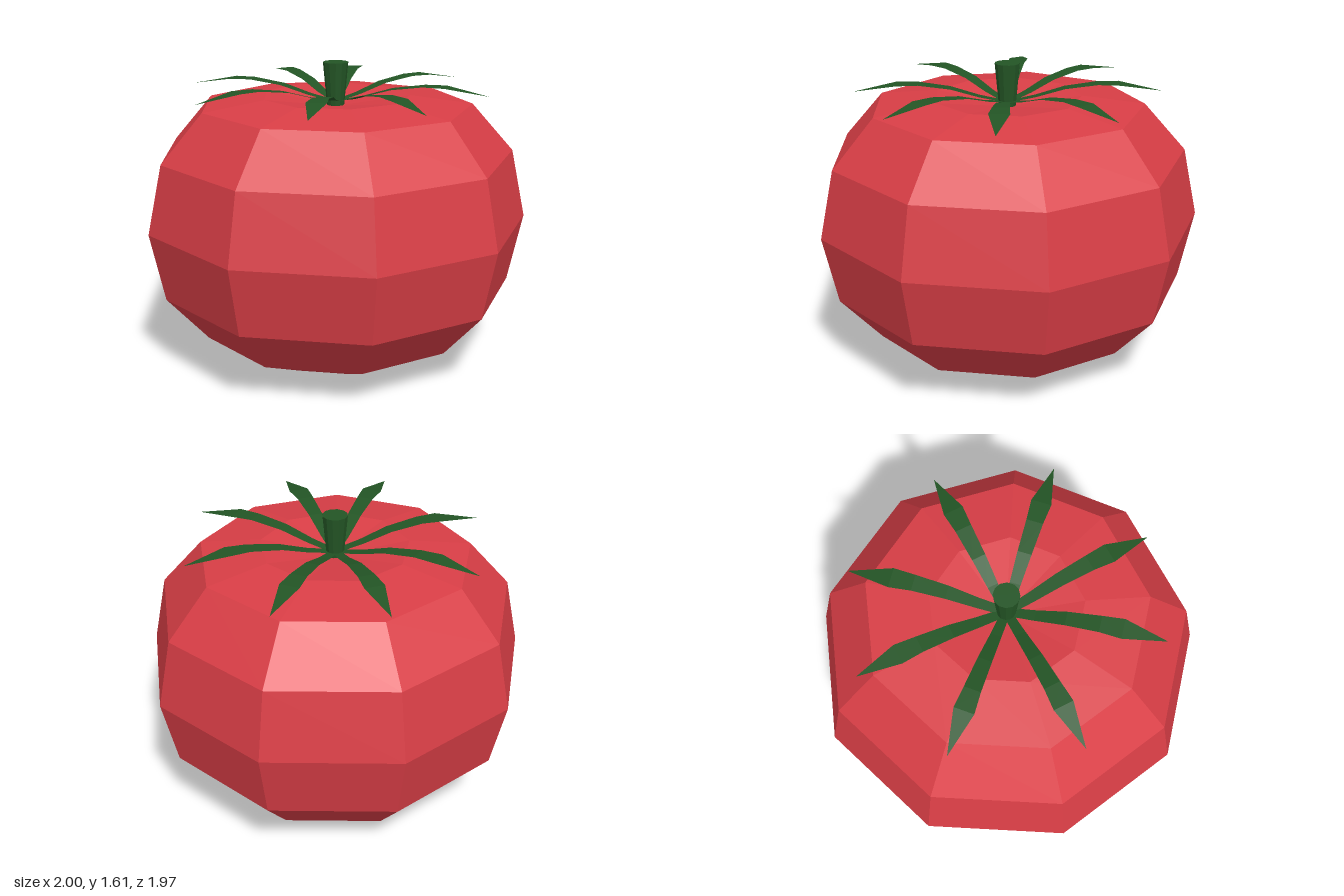
import * as THREE from 'three';

const CENTRE_Z = 0.028;

const red = new THREE.MeshStandardMaterial({ color: 0xd93e46, flatShading: true });
red.name = 'tomatoRed';
const green = new THREE.MeshStandardMaterial({ color: 0x235525, flatShading: true, side: THREE.DoubleSide });
green.name = 'leafGreen';

// Cross-sections along a leaf: fraction of length, height, half width
const LEAF_SECTIONS = [
  [0, 1.4, 0.022],
  [0.18, 1.43, 0.028],
  [0.37, 1.475, 0.036],
  [0.58, 1.498, 0.043],
  [0.72, 1.497, 0.052],
  [1, 1.457, 0],
];

// Thin arched sheet running from the stem out to a pointed tip
function leafGeometry(length) {
  const positions = [];
  const index = [];
  LEAF_SECTIONS.forEach(([t, y, w], i) => {
    positions.push(t * length, y, w, t * length, y, -w);
    if (i === 0) return;
    const a = 2 * i - 2;
    index.push(a, a + 2, a + 1);
    if (w > 0) index.push(a + 1, a + 2, a + 3);
  });
  const geometry = new THREE.BufferGeometry();
  geometry.setAttribute('position', new THREE.Float32BufferAttribute(positions, 3));
  geometry.setIndex(index);
  geometry.computeVertexNormals();
  return geometry;
}

export function createModel() {
  const model = new THREE.Group();
  model.name = 'tomato';

  // Nine-sided squashed fruit with a shallow dip on top
  const profile = [
    [0, 0], [0.39, 0.02], [0.718, 0.17], [0.938, 0.415], [1.015, 0.775],
    [0.938, 1.135], [0.718, 1.385], [0.39, 1.43], [0, 1.375],
  ].map(([r, y]) => new THREE.Vector2(r, y));
  const fruit = new THREE.Mesh(new THREE.LatheGeometry(profile, 9, Math.PI), red);
  fruit.name = 'fruit';
  fruit.position.z = CENTRE_Z;
  model.add(fruit);

  // Stem, flaring towards its cut top
  const stem = new THREE.Mesh(new THREE.CylinderGeometry(0.066, 0.044, 0.235, 12), green);
  stem.name = 'stem';
  stem.position.set(0, 1.4875, CENTRE_Z);
  model.add(stem);

  // Ring of slightly uneven leaves, each aimed at its tip (x, z)
  const leaves = new THREE.Group();
  leaves.name = 'leaves';
  const tips = [
    [0.79, 0.018], [0.57, 0.59], [0.018, 0.825], [-0.51, 0.64],
    [-0.8, 0.036], [-0.54, -0.555], [0.005, -0.77], [0.525, -0.58],
  ];
  tips.forEach(([x, z], i) => {
    const dz = z - CENTRE_Z;
    const leaf = new THREE.Mesh(leafGeometry(Math.hypot(x, dz)), green);
    leaf.name = `leaf${i + 1}`;
    leaf.position.z = CENTRE_Z;
    leaf.rotation.y = Math.atan2(-dz, x);
    leaves.add(leaf);
  });
  model.add(leaves);

  return model;
}
